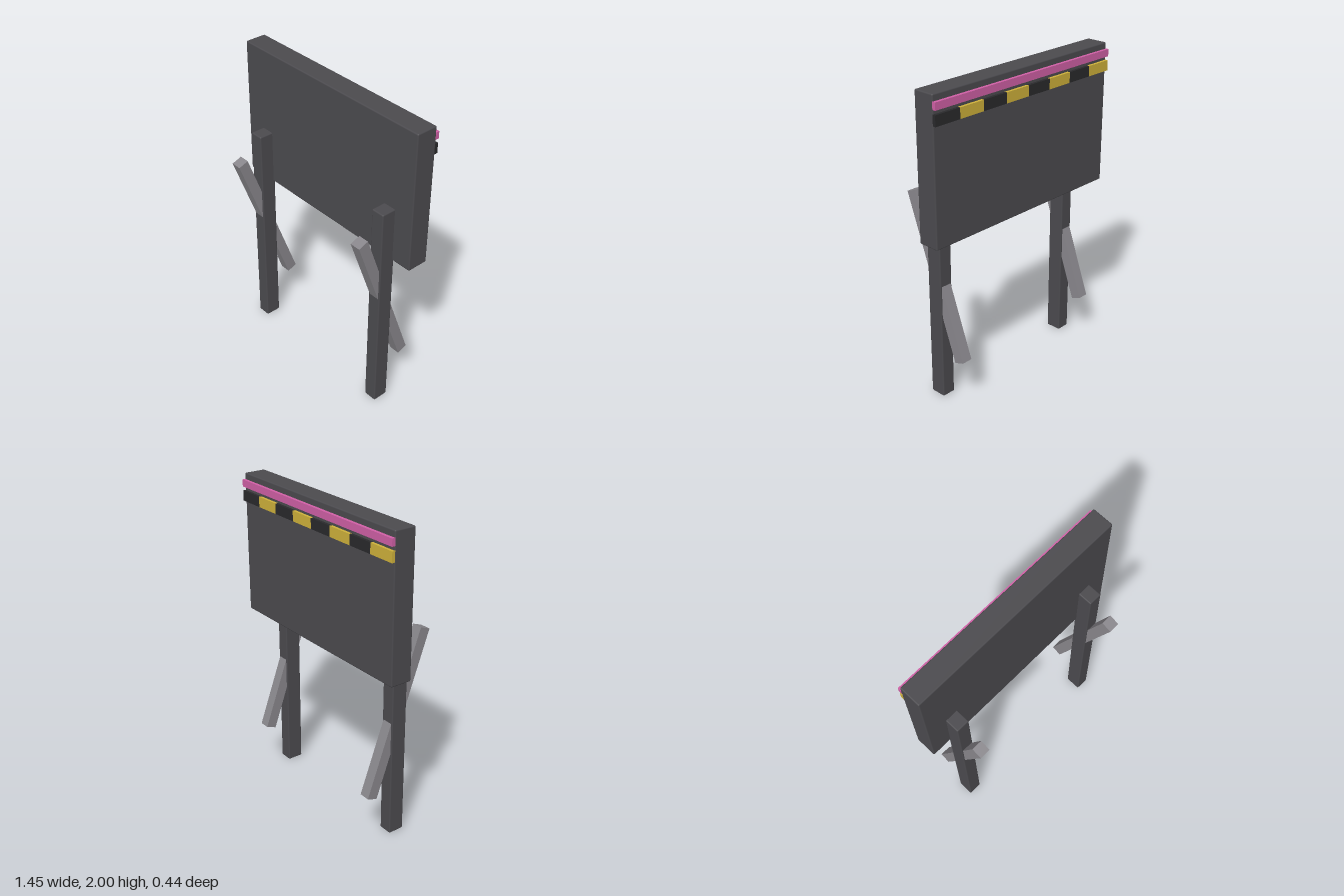
import * as THREE from 'three';
import { RoundedBoxGeometry } from 'three/addons/geometries/RoundedBoxGeometry.js';

const mat = (name, color) => {
  const m = new THREE.MeshStandardMaterial({ color });
  m.name = name;
  return m;
};

export function createModel() {
  const model = new THREE.Group();
  model.name = 'barrierBoard';

  const darkGrey = mat('dark grey', 0x4b4a4e);
  const midGrey = mat('mid grey', 0x88868b);
  const pink = mat('pink', 0xcf5fa5);
  const black = mat('black', 0x29292b);
  const yellow = mat('yellow', 0xcdb03a);

  const add = (name, geometry, material, x, y, z) => {
    const mesh = new THREE.Mesh(geometry, material);
    mesh.name = name;
    mesh.position.set(x, y, z);
    model.add(mesh);
    return mesh;
  };

  // Main board with softened edges
  const width = 1.45;
  add('board', new RoundedBoxGeometry(width, 0.905, 0.14, 2, 0.008), darkGrey, 0, 1.5475, -0.11);

  // Posts in front of the board, each crossed by a slanted brace
  for (const [side, s] of [['left', 1], ['right', -1]]) {
    add(side + 'Post', new RoundedBoxGeometry(0.09, 1.455, 0.104, 2, 0.008), darkGrey, s * 0.545, 0.7275, 0);
    const brace = add(side + 'Brace', new THREE.BoxGeometry(0.07, 1.08, 0.07), midGrey, s * 0.545, 0.803, 0);
    brace.rotation.x = THREE.MathUtils.degToRad(20);
  }

  // Light strip along the top of the back
  add('pinkStrip', new THREE.BoxGeometry(width, 0.045, 0.022), pink, 0, 1.9375, -0.189);

  // Hazard band of alternating blocks below it
  const count = 8;
  const step = width / count;
  for (let i = 0; i < count; i++) {
    const x = width / 2 - (i + 0.5) * step;
    add('hazardBlock' + (i + 1), new THREE.BoxGeometry(step, 0.065, 0.02), i % 2 ? yellow : black, x, 1.8575, -0.188);
  }

  return model;
}
